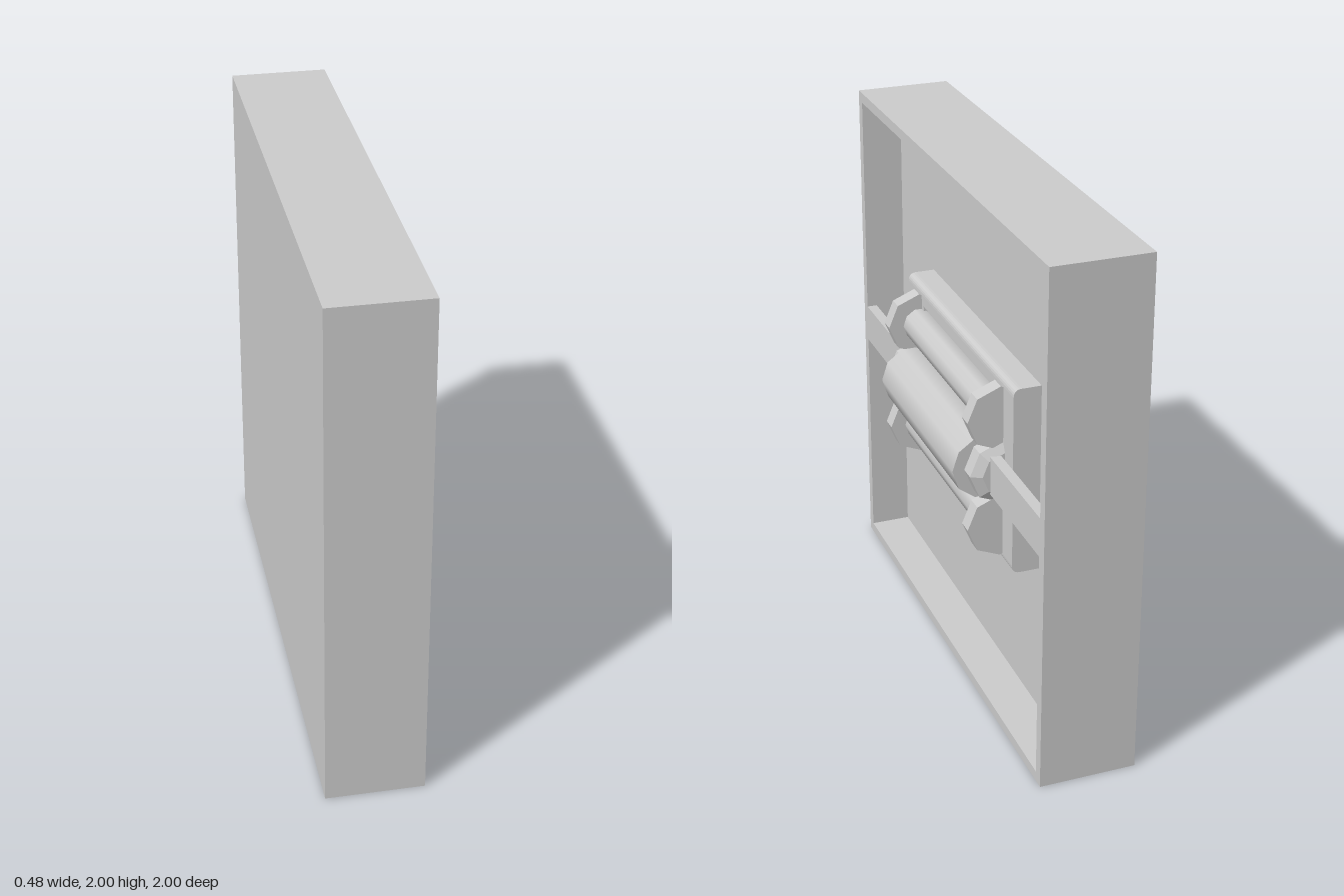
import * as THREE from 'three';

const MID = 1.003; // height of the roller axis

export function createModel() {
  const root = new THREE.Group();
  const smooth = new THREE.MeshStandardMaterial({ color: 0xcccccc });
  const flat = new THREE.MeshStandardMaterial({ color: 0xcccccc, flatShading: true });

  const add = (name, geometry, material = flat) => {
    const mesh = new THREE.Mesh(geometry, material);
    mesh.name = name;
    root.add(mesh);
    return mesh;
  };

  // Box given by its limits on each axis
  const block = (name, [x0, x1], [y0, y1], [z0, z1]) =>
    add(name, new THREE.BoxGeometry(x1 - x0, y1 - y0, z1 - z0))
      .position.set((x0 + x1) / 2, (y0 + y1) / 2, (z0 + z1) / 2);

  // Prism along z with a corner pointing to +x
  const prism = (name, rFront, rBack, length, sides, x, y, z, material) => {
    const g = new THREE.CylinderGeometry(rFront, rBack, length, sides, 1, false, Math.PI / 2);
    g.rotateX(Math.PI / 2);
    add(name, g, material).position.set(x, y, z);
  };

  // Backing slab and raised rim around the recess
  block('backPanel', [-0.245, -0.035], [0, 2], [-1, 1]);
  const square = (P, s) => new P([[-s, -s], [s, -s], [s, s], [-s, s]]
    .map(([a, b]) => new THREE.Vector2(a, b)));
  const rimShape = square(THREE.Shape, 1);
  rimShape.holes.push(square(THREE.Path, 0.96));
  const rim = new THREE.ExtrudeGeometry(rimShape, { depth: 0.16, bevelEnabled: false });
  rim.rotateY(Math.PI / 2);
  add('rim', rim).position.set(-0.035, 1, 0);

  // Inner frame: rounded rails above and below, plain stiles at the sides
  const railShape = new THREE.Shape();
  railShape.moveTo(-0.035, 0.297);
  railShape.lineTo(0.07, 0.297);
  railShape.lineTo(0.07, 0.338);
  railShape.quadraticCurveTo(0.07, 0.369, 0.04, 0.369);
  railShape.lineTo(-0.035, 0.369);
  for (const side of [1, -1]) {
    const rail = new THREE.ExtrudeGeometry(railShape,
      { depth: 1.14, bevelEnabled: false, curveSegments: 6 });
    rail.translate(0, 0, -0.57);
    if (side < 0) rail.rotateZ(Math.PI).scale(-1, 1, 1);
    if (side < 0) flipFaces(rail);
    add(side > 0 ? 'topRail' : 'bottomRail', rail, smooth).position.y = MID;

    const range = (a, b) => (side > 0 ? [a, b] : [-b, -a]);
    block('frameStile', [-0.035, 0.07], [MID - 0.297, MID + 0.297], range(0.39, 0.57));

    // Thin strap from the centre hub to the rim
    block('crossStrap', [0.085, 0.125], [0.93, 1.08], range(0.44, 0.96));

    // Centre hub with a bevelled outer end
    prism('centreHub', 0.125, 0.125, 0.06, 8, 0.07, MID, side * 0.44);
    prism('hubBevel', side > 0 ? 0.085 : 0.125, side > 0 ? 0.125 : 0.085,
      0.022, 8, 0.07, MID, side * 0.481);

    // Small roller above or below the centre, with an octagonal cap at each end
    const y = MID + side * 0.216;
    prism('sideRoller', 0.066, 0.066, 0.83, 10, 0.08, y, 0, smooth);
    for (const end of [1, -1]) {
      prism('rollerCap', 0.125, 0.125, 0.06, 8, 0.08, y, end * 0.443);
    }
  }

  // Large centre roller
  prism('centreRoller', 0.125, 0.125, 0.82, 10, 0.115, MID, 0, smooth);

  return root;
}

// Restores outward faces after a mirror
function flipFaces(geometry) {
  const p = geometry.attributes.position;
  const v = new THREE.Vector3(), w = new THREE.Vector3();
  for (let i = 0; i < p.count; i += 3) {
    v.fromBufferAttribute(p, i);
    w.fromBufferAttribute(p, i + 1);
    p.setXYZ(i, w.x, w.y, w.z);
    p.setXYZ(i + 1, v.x, v.y, v.z);
  }
  geometry.computeVertexNormals();
}
